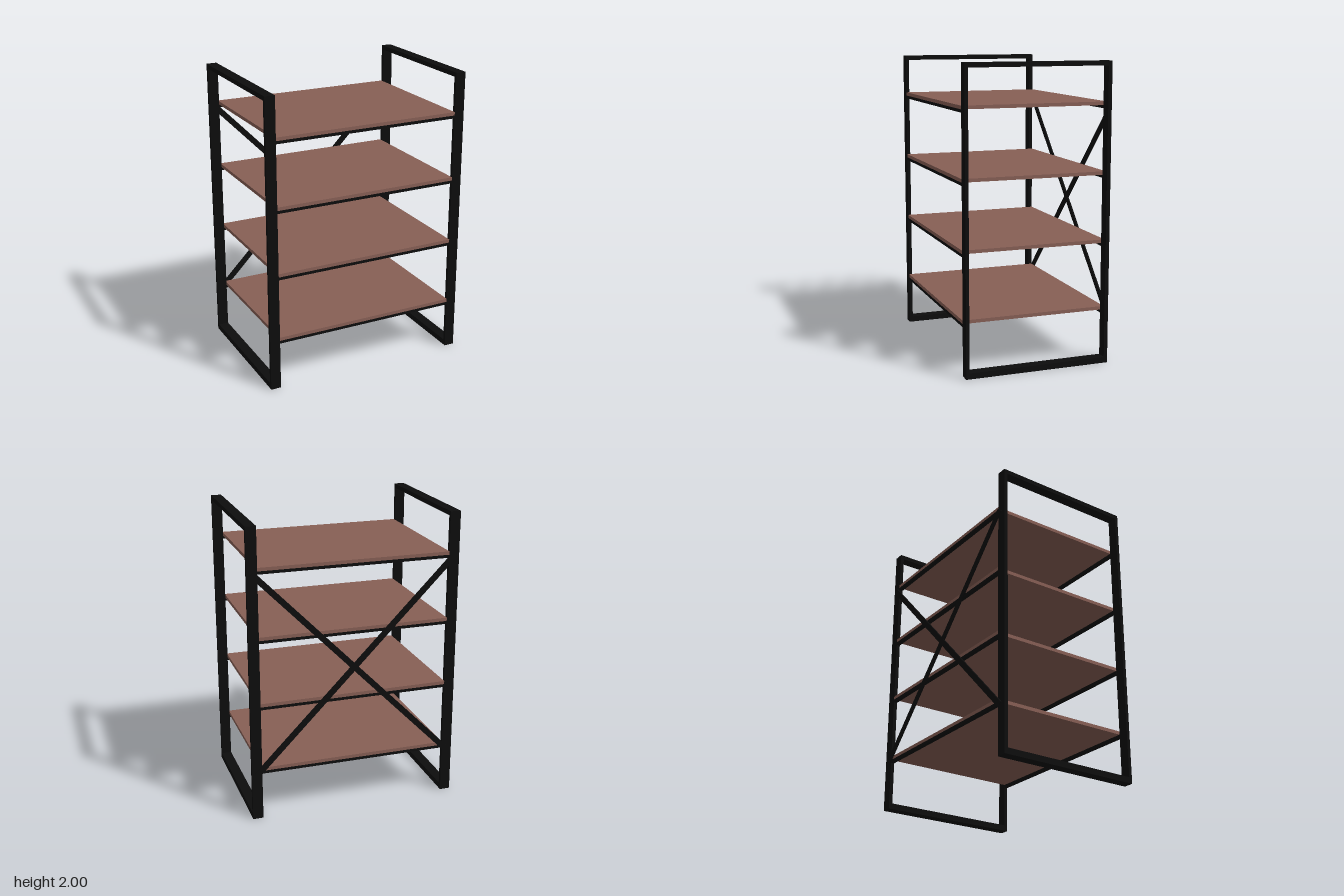
import * as THREE from 'three';

export function createModel() {
  const group = new THREE.Group();
  const metal = new THREE.MeshStandardMaterial({ color: 0x0d0d0d });
  const wood = new THREE.MeshStandardMaterial({ color: 0x875f55 });

  const add = (name, geometry, material, x, y, z) => {
    const mesh = new THREE.Mesh(geometry, material);
    mesh.name = name;
    mesh.position.set(x, y, z);
    group.add(mesh);
    return mesh;
  };

  const front = 0.5, back = -0.49, frameX = 0.68, frameWidth = 0.07;
  const innerWidth = 2 * frameX - frameWidth;

  // Side frames: flat rectangular loops, drawn as (z, y) and extruded along x
  const outline = new THREE.Shape([[back, 0], [front, 0], [front, 2], [back, 2]]
    .map(p => new THREE.Vector2(...p)));
  outline.holes.push(new THREE.Path([[-0.465, 0.04], [-0.465, 1.97], [0.478, 1.97], [0.478, 0.04]]
    .map(p => new THREE.Vector2(...p))));
  const frame = new THREE.ExtrudeGeometry(outline, { depth: frameWidth, bevelEnabled: false });
  frame.translate(0, 0, -frameWidth / 2).rotateY(-Math.PI / 2);
  add('leftFrame', frame, metal, frameX, 0, 0);
  add('rightFrame', frame, metal, -frameX, 0, 0);

  // Shelves, each resting on a front and a back rail
  const shelf = new THREE.BoxGeometry(innerWidth, 0.023, front - back);
  const rail = new THREE.BoxGeometry(innerWidth, 0.02, 0.024);
  for (let i = 0; i < 4; i++) {
    const top = 0.371 + i * 0.455;
    add('shelf', shelf, wood, 0, top - 0.0115, (front + back) / 2);
    add('frontRail', rail, metal, 0, top - 0.033, front - 0.012);
    add('backRail', rail, metal, 0, top - 0.033, back + 0.012);
  }

  // Crossed flat braces on the back
  const brace = new THREE.BoxGeometry(1.93, 0.04, 0.01);
  for (const side of [-1, 1]) {
    add('backBrace', brace, metal, 0.007, 1.01, back - 0.005).rotation.z = side * 0.795;
  }
  return group;
}
